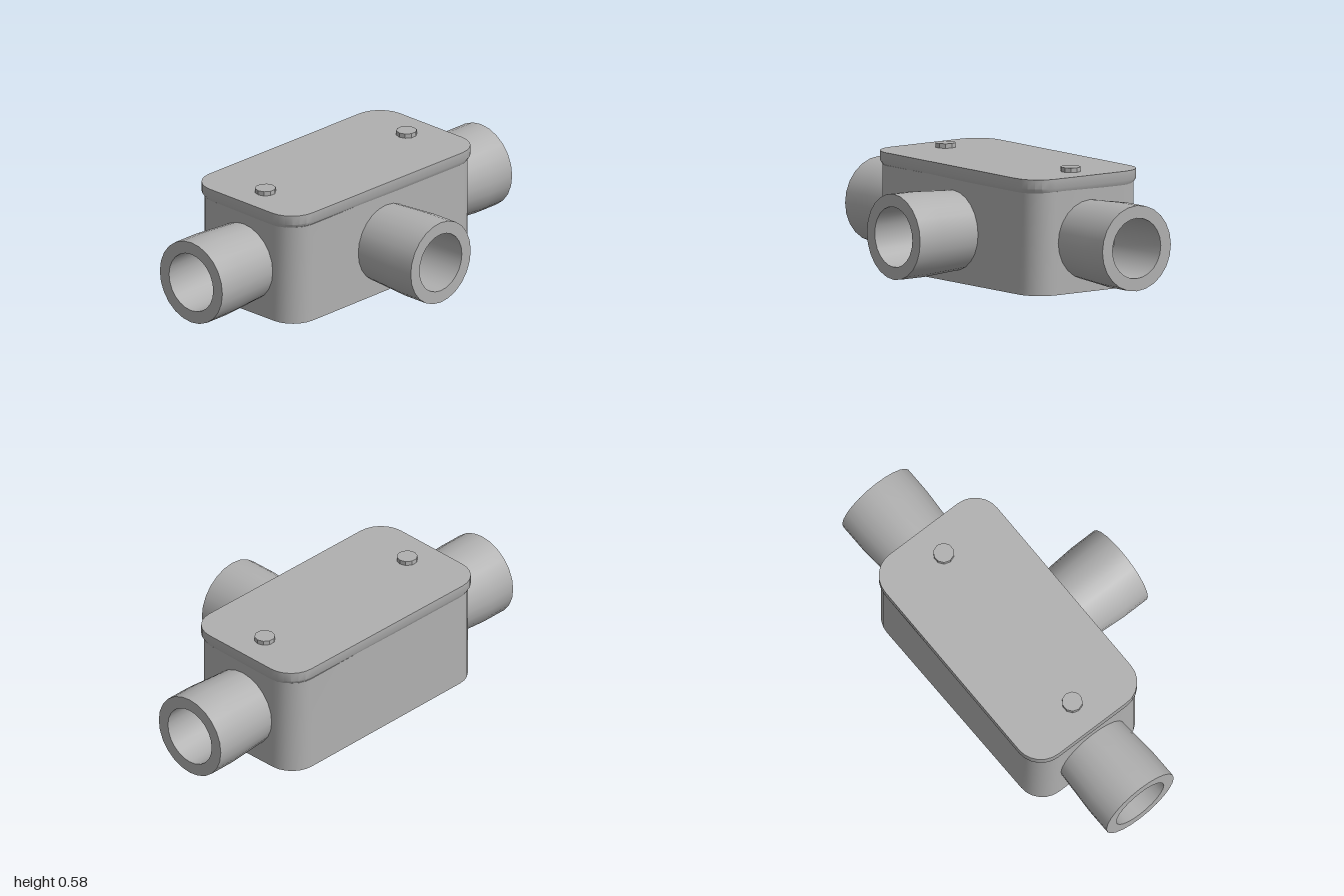
import * as THREE from 'three';
import { toCreasedNormals } from 'three/addons/utils/BufferGeometryUtils.js';

const CX = -0.175; // centre line of the box

// Outline of a rectangle with rounded corners, as [x, z] points
function roundedOutline(halfX, halfZ, r, steps = 6) {
  const pts = [];
  [[1, 1], [-1, 1], [-1, -1], [1, -1]].forEach(([sx, sz], corner) => {
    for (let i = 0; i <= steps; i++) {
      const a = (corner + i / steps) * Math.PI / 2;
      pts.push([sx * (halfX - r) + r * Math.cos(a), sz * (halfZ - r) + r * Math.sin(a)]);
    }
  });
  return pts;
}

// Closed solid from rounded outlines stacked upwards: levels of [y, halfX, halfZ, radius]
function stack(levels) {
  const pos = [], index = [];
  const rings = levels.map(([y, hx, hz, r]) => roundedOutline(hx, hz, r).map(([x, z]) => [x, y, z]));
  const n = rings[0].length, last = rings.length - 1;
  rings.forEach(ring => ring.forEach(p => pos.push(...p)));
  for (let k = 0; k < last; k++) {
    for (let i = 0; i < n; i++) {
      const a = k * n + i, b = k * n + (i + 1) % n;
      index.push(a, a + n, b, b, a + n, b + n);
    }
  }
  for (let i = 1; i < n - 1; i++) {
    index.push(0, i, i + 1);
    index.push(last * n, last * n + i + 1, last * n + i);
  }
  const g = new THREE.BufferGeometry();
  g.setAttribute('position', new THREE.Float32BufferAttribute(pos, 3));
  g.setIndex(index);
  return toCreasedNormals(g, 0.6);
}

// Tapered pipe stub with a blind bore, running along +y from the wall to its end
function pipeGeometry(wall, end) {
  const profile = [
    [0.192, wall - 0.03], [0.193, wall], [0.207, end - 0.14], [0.207, end],
    [0.146, end], [0.146, wall + 0.005], [0, wall + 0.005],
  ].map(([r, y]) => new THREE.Vector2(r, y));
  return toCreasedNormals(new THREE.LatheGeometry(profile, 24), 0.6);
}

export function createModel() {
  const model = new THREE.Group();
  model.name = 'conduitBox';
  const metal = new THREE.MeshStandardMaterial({ color: 0xb0b0b0 });
  metal.name = 'grey metal';

  const add = (name, geometry, x, y, z) => {
    const mesh = new THREE.Mesh(geometry, metal);
    mesh.name = name;
    mesh.position.set(x, y, z);
    model.add(mesh);
    return mesh;
  };

  // Box and its slightly wider cover with a chamfered lower edge
  add('body', stack([[0, 0.332, 0.638, 0.13], [0.5, 0.332, 0.638, 0.13]]), CX, 0, 0);
  const cover = add('cover', stack([
    [0.495, 0.331, 0.637, 0.13], [0.517, 0.343, 0.648, 0.135], [0.563, 0.343, 0.648, 0.135],
  ]), CX, 0, 0);
  cover.rotation.y = -0.01;

  // Pipe stubs at both ends and on the left side
  const endPipe = pipeGeometry(0.638, 1);
  add('frontPipe', endPipe, CX, 0.251, 0).rotation.x = Math.PI / 2;
  add('backPipe', endPipe, CX, 0.251, 0).rotation.x = -Math.PI / 2;
  add('sidePipe', pipeGeometry(0.158, 0.518), 0, 0.251, 0).rotation.z = -Math.PI / 2;

  // Cover screws
  const screw = toCreasedNormals(new THREE.CylinderGeometry(0.05, 0.05, 0.032, 10), 0.3);
  for (const side of [1, -1]) {
    add(side > 0 ? 'frontScrew' : 'backScrew', screw, CX, 0.569, side * 0.487);
  }
  return model;
}
